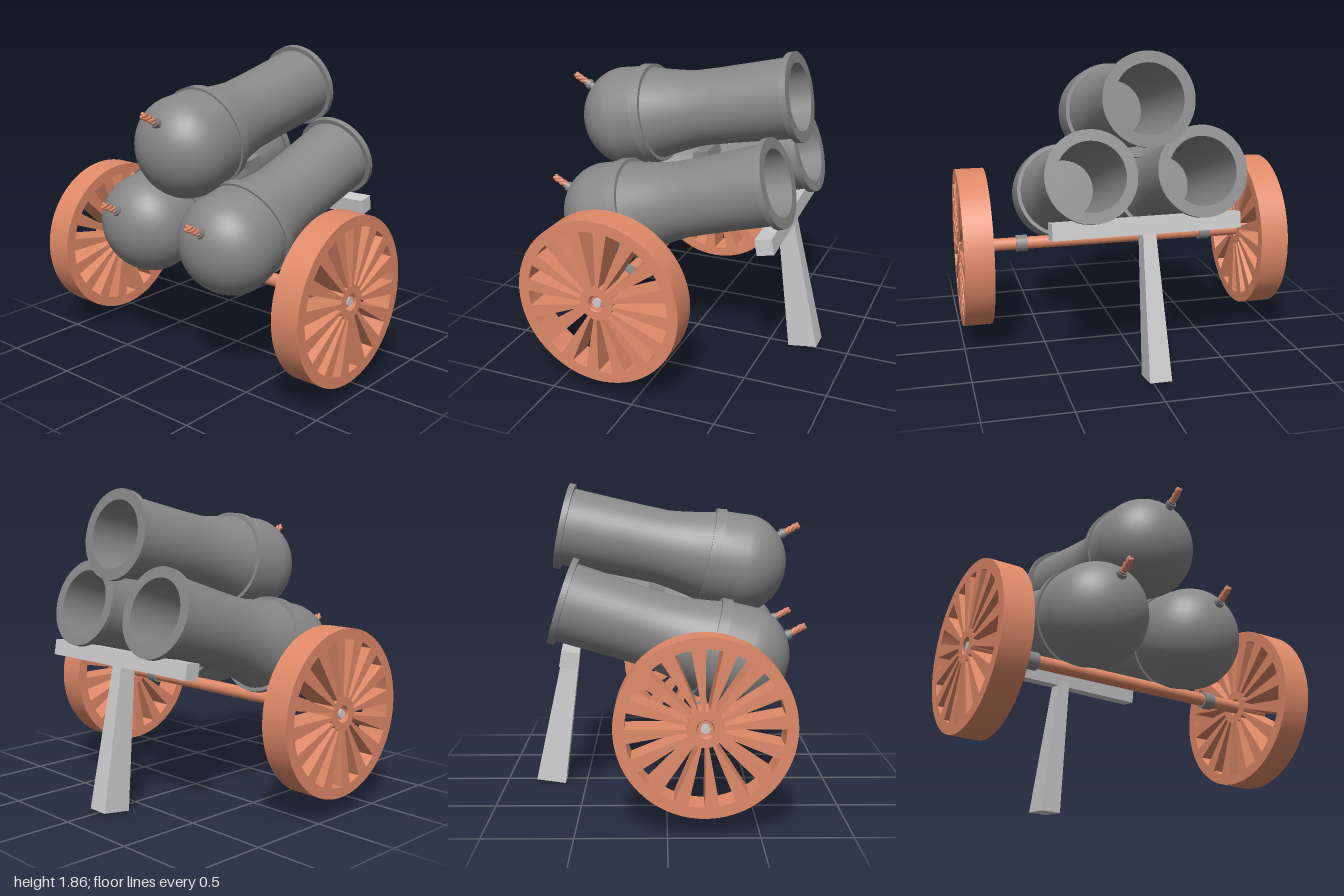
import * as THREE from 'three';
import { toCreasedNormals } from 'three/addons/utils/BufferGeometryUtils.js';

const iron = new THREE.MeshStandardMaterial({ color: 0x888888 });
const copper = new THREE.MeshStandardMaterial({ color: 0xe08a68 });
const grey = new THREE.MeshStandardMaterial({ color: 0xcccccc });
const V = (x, y, z) => new THREE.Vector3(x, y, z);

function add(parent, name, geometry, material, x = 0, y = 0, z = 0) {
  const mesh = new THREE.Mesh(geometry, material);
  mesh.name = name;
  mesh.position.set(x, y, z);
  parent.add(mesh);
  return mesh;
}

// Turned barrel: round breech, reinforcing band, waist, muzzle lip and bore.
// The origin is the centre of the muzzle face, +y points out of the muzzle.
function barrelGeometry() {
  const points = [];
  for (let i = 0; i <= 14; i++) {
    const a = (i / 14) * Math.PI / 2;
    points.push([0.303 * Math.sin(a), -1.117 - 0.272 * Math.cos(a)]);
  }
  points.push(
    [0.292, -0.96], [0.305, -0.96], [0.298, -0.9], [0.276, -0.9],
    [0.258, -0.82], [0.238, -0.71], [0.226, -0.62], [0.226, -0.45], [0.235, -0.036],
    [0.262, -0.036], [0.262, 0], [0.198, 0], [0.19, -0.9], [0, -0.9]);
  const profile = points.map(([r, y]) => new THREE.Vector2(r, y));
  return toCreasedNormals(new THREE.LatheGeometry(profile, 48), 0.5);
}

// Short collar with a twisted three-strand cord
function fuse() {
  const group = new THREE.Group();
  group.name = 'fuse';
  add(group, 'fuseCollar', new THREE.CylinderGeometry(0.024, 0.024, 0.07, 16), iron, 0, 0.015);
  add(group, 'fuseRing', new THREE.CylinderGeometry(0.031, 0.031, 0.02, 16), iron, 0, 0.03);
  for (let s = 0; s < 3; s++) {
    const path = [];
    for (let i = 0; i <= 12; i++) {
      const a = (s / 3 + i / 12) * Math.PI * 2;
      path.push(V(0.011 * Math.cos(a), 0.035 + 0.1 * i / 12, 0.011 * Math.sin(a)));
    }
    const strand = new THREE.TubeGeometry(new THREE.CatmullRomCurve3(path), 24, 0.011, 8);
    add(group, 'fuseStrand', strand, copper);
    add(group, 'strandEnd', new THREE.SphereGeometry(0.011, 8, 6), copper, ...path[12].toArray());
  }
  group.rotation.x = THREE.MathUtils.degToRad(61);
  return group;
}

// Disc wheel with sixteen tapering openings between the spokes
function wheelGeometry(width) {
  const shape = new THREE.Shape().absarc(0, 0, 0.49, 0, Math.PI * 2);
  const step = Math.PI / 8, open = 0.21;
  for (let i = 0; i < 16; i++) {
    const a = i * step;
    const hole = new THREE.Path();
    hole.absarc(0, 0, 0.427, a, a + open, false);
    hole.absarc(0, 0, 0.1, a + open, a, true);
    hole.closePath();
    shape.holes.push(hole);
  }
  shape.holes.push(new THREE.Path().absarc(0, 0, 0.05, 0, Math.PI * 2));
  const geometry = new THREE.ExtrudeGeometry(shape, { depth: width, bevelEnabled: false, curveSegments: 36 });
  geometry.translate(0, 0, -width / 2).rotateY(Math.PI / 2);
  return toCreasedNormals(geometry, 0.5);
}

// Splayed prop leg: a box whose top and bottom are moved to different sizes
function legGeometry() {
  const geometry = new THREE.BoxGeometry(1, 1, 1).toNonIndexed();
  const p = geometry.attributes.position;
  const mix = THREE.MathUtils.lerp;
  for (let i = 0; i < p.count; i++) {
    const x = p.getX(i), t = p.getY(i) + 0.5, z = p.getZ(i);
    p.setXYZ(i,
      mix(-0.03, -0.005, t) + x * mix(0.13, 0.075, t),
      mix(0.0125 - z * 0.025, 0.86, t),
      mix(-0.72, -0.58, t) + z * mix(0.18, 0.1, t));
  }
  geometry.computeVertexNormals();
  return geometry;
}

export function createModel() {
  const model = new THREE.Group();
  model.name = 'tripleCannon';

  // Three barrels with their fuses
  const barrel = barrelGeometry();
  const barrels = [
    { name: 'topBarrel', muzzle: V(0, 1.605, -0.632), tilt: 12, fuse: V(0.025, 1.54, 0.69) },
    { name: 'leftBarrel', muzzle: V(0.32, 1.188, -0.617), tilt: 17.5, fuse: V(0.345, 0.97, 0.69) },
    { name: 'rightBarrel', muzzle: V(-0.32, 1.188, -0.617), tilt: 17.5, fuse: V(-0.32, 0.97, 0.69) },
  ];
  for (const b of barrels) {
    const mesh = add(model, b.name, barrel, iron, ...b.muzzle.toArray());
    mesh.rotation.x = THREE.MathUtils.degToRad(b.tilt - 90);
    const f = fuse();
    f.position.copy(b.fuse);
    model.add(f);
  }

  // Saddle block joining the barrels
  const saddle = add(model, 'saddle', new THREE.BoxGeometry(0.2, 0.06, 0.1), iron, 0, 1.2, -0.06);
  saddle.rotation.x = 0.25;

  // Axle, collars, wheels and hub bolts
  const axleY = 0.598, axleZ = 0.2;
  const alongX = (r, length, sides) => new THREE.CylinderGeometry(r, r, length, sides).rotateZ(Math.PI / 2);
  add(model, 'axle', alongX(0.039, 1.95, 24), copper, 0, axleY, axleZ);
  const wheel = wheelGeometry(0.174);
  const hubRing = new THREE.TorusGeometry(0.054, 0.008, 8, 32).rotateY(Math.PI / 2);
  for (const side of [1, -1]) {
    add(model, 'wheel', wheel, copper, side * 0.913, axleY, axleZ);
    add(model, 'hubRing', hubRing, copper, side * 0.992, axleY, axleZ);
    add(model, 'hubBolt', alongX(0.027, 0.02, 8), grey, side * 0.982, axleY, axleZ);
    add(model, 'axleCollar', alongX(0.052, 0.07, 20), iron, side * 0.605, axleY, axleZ);
  }

  // Rear prop: slightly skewed crossbar on a splayed leg
  const bar = add(model, 'crossbar', new THREE.BoxGeometry(1.11, 0.095, 0.1), grey, 0, 0.885, -0.585);
  bar.rotation.set(0.17, 0.06, 0);
  add(model, 'propLeg', legGeometry(), grey);

  return model;
}
